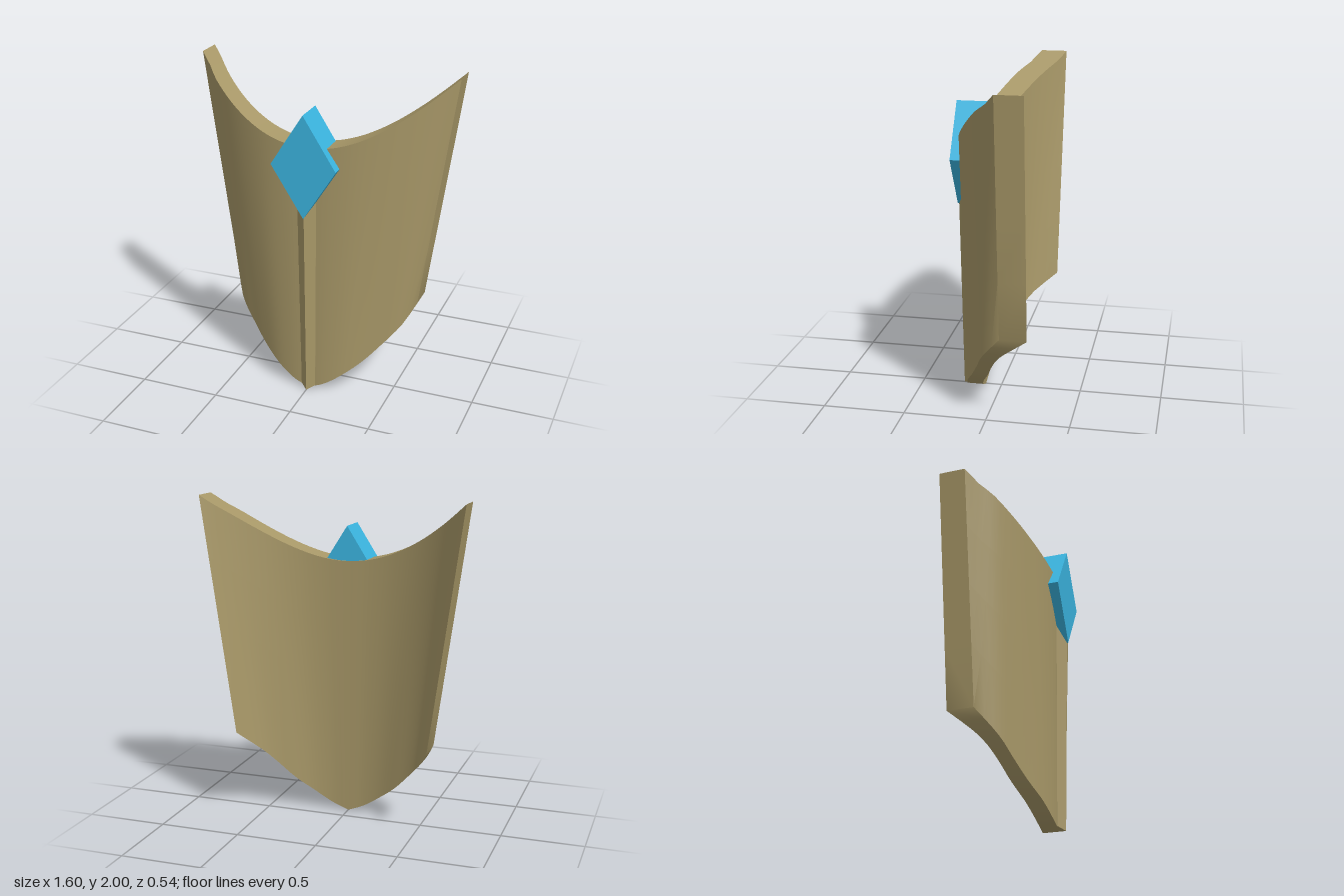
import * as THREE from 'three';
import { toCreasedNormals } from 'three/addons/utils/BufferGeometryUtils.js';
import { ConvexGeometry } from 'three/addons/geometries/ConvexGeometry.js';

const tan = new THREE.MeshStandardMaterial({ color: 0xa89868 });
const blue = new THREE.MeshStandardMaterial({ color: 0x3bb5e0 });
const lerp = THREE.MathUtils.lerp;

// Half profile from the centre (u = 0) to the side (u = 1):
// bottom edge height, then z of top front, top back, bottom front, bottom back
const stations = [0, 0.2, 0.4, 0.6, 0.75, 0.85, 0.92, 0.96, 1];
const profile = [
  0.0, 0.22, 0.065, 0.2, 0.1,
  0.045, 0.215, 0.06, 0.195, 0.095,
  0.12, 0.19, 0.035, 0.17, 0.07,
  0.215, 0.135, -0.02, 0.115, 0.02,
  0.315, 0.07, -0.09, 0.065, -0.025,
  0.39, 0.01, -0.155, 0.03, -0.07,
  0.45, -0.055, -0.215, -0.01, -0.125,
  0.5, -0.08, -0.245, -0.05, -0.185,
  0.56, -0.11, -0.27, -0.1, -0.26,
];
const halfWidth = (y) => 0.6 + ((y - 0.56) / 1.44) * 0.2;

// Curved, tapered plate: one closed ring of points per column
function plateGeometry(columns = 48, rows = 5) {
  const curve = new THREE.CubicInterpolant(stations, profile, 5);
  const positions = [];
  const index = [];
  const ring = rows * 2;
  for (let i = 0; i <= columns; i++) {
    const u = (i / columns) * 2 - 1;
    const [low, topFront, topBack, lowFront, lowBack] = curve.evaluate(Math.abs(u));
    const high = 1.6 + 0.4 * u * u;
    for (let j = 0; j < ring; j++) {
      const front = j < rows;
      const v = (front ? j : ring - 1 - j) / (rows - 1);
      const y = lerp(low, high, v);
      const z = front ? lerp(lowFront, topFront, v) : lerp(lowBack, topBack, v);
      positions.push(u * halfWidth(y), y, z);
    }
  }
  const quad = (a, b, c, d) => index.push(a, b, c, a, c, d);
  for (let i = 0; i < columns; i++) {
    for (let j = 0; j < ring; j++) {
      const a = i * ring, b = a + ring, k = (j + 1) % ring;
      quad(a + j, b + j, b + k, a + k);
    }
  }
  // side ends
  const last = columns * ring;
  for (let j = 0; j < rows - 1; j++) {
    const back = ring - 1 - j;
    quad(last + j, last + back, last + back - 1, last + j + 1);
    quad(j, j + 1, back - 1, back);
  }
  const geometry = new THREE.BufferGeometry();
  geometry.setAttribute('position', new THREE.Float32BufferAttribute(positions, 3));
  geometry.setIndex(index);
  return toCreasedNormals(geometry, 0.5);
}

// Shallow wedge running down the middle, slightly narrower at the tip
function ridgeGeometry() {
  const section = (half, sideY, midY, sideZ, midZ) => [
    [-half, sideY, 0.15], [half, sideY, 0.15], [0, midY, 0.15],
    [-half, sideY, sideZ], [half, sideY, sideZ], [0, midY, midZ],
  ];
  const points = [
    ...section(0.045, 0.02, 0, 0.2, 0.238),
    ...section(0.062, 1.5, 1.5, 0.218, 0.268),
  ];
  return new ConvexGeometry(points.map((p) => new THREE.Vector3(...p)));
}

// Diamond block set into the top edge
function diamondGeometry() {
  const shape = new THREE.Shape([[0, -0.315], [0.2, 0], [0, 0.315], [-0.2, 0]]
    .map(([x, y]) => new THREE.Vector2(x, y)));
  return new THREE.ExtrudeGeometry(shape, { depth: 0.195, bevelEnabled: false })
    .translate(0, 1.495, 0.075);
}

export function createModel() {
  const group = new THREE.Group();
  group.name = 'shield';
  const add = (name, geometry, material) => {
    const mesh = new THREE.Mesh(geometry, material);
    mesh.name = name;
    group.add(mesh);
  };
  add('curvedPlate', plateGeometry(), tan);
  add('centreRidge', ridgeGeometry(), tan);
  add('diamondGem', diamondGeometry(), blue);
  return group;
}
